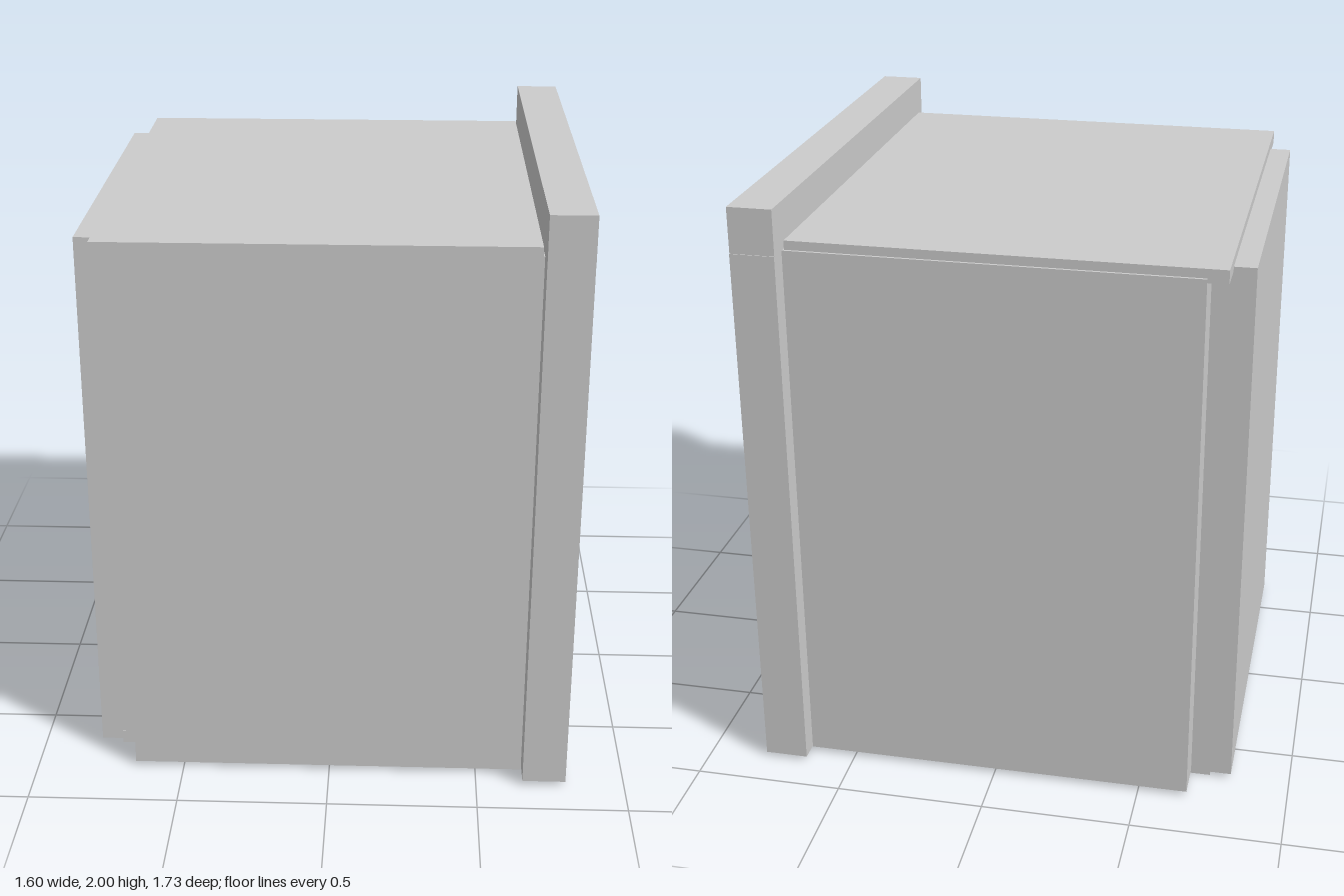
import * as THREE from 'three';

const material = new THREE.MeshStandardMaterial({ color: 0xcccccc, flatShading: true });

// Box given by its [min, max] range along each axis
function slab(name, [x0, x1], [y0, y1], [z0, z1]) {
  const geometry = new THREE.BoxGeometry(x1 - x0, y1 - y0, z1 - z0);
  geometry.translate((x0 + x1) / 2, (y0 + y1) / 2, (z0 + z1) / 2);
  const mesh = new THREE.Mesh(geometry, material);
  mesh.name = name;
  return mesh;
}

export function createModel() {
  const model = new THREE.Group();
  model.name = 'elevatorCabin';
  const wallY = [0.015, 1.85];

  // Cabin shell
  const cabin = new THREE.Group();
  cabin.name = 'cabin';
  cabin.add(
    slab('floor', [-0.73, 0.65], [0, 0.045], [-0.67, 0.662]),
    slab('roof', [-0.73, 0.65], [1.835, 1.88], [-0.793, 0.802]),
    slab('frontWall', [-0.665, 0.655], wallY, [0.655, 0.798]),
    slab('backWall', [-0.665, 0.655], wallY, [-0.802, -0.665]),
    slab('rearWall', [-0.802, -0.665], wallY, [-0.672, 0.66])
  );

  // Door frame: two jambs under a lintel
  const frame = new THREE.Group();
  frame.name = 'doorFrame';
  const frameX = [0.657, 0.802];
  frame.add(
    slab('frontJamb', frameX, wallY, [0.595, 0.865]),
    slab('backJamb', frameX, wallY, [-0.865, -0.595]),
    slab('lintel', frameX, [1.85, 2], [-0.862, 0.869])
  );

  // Two sliding panels, one behind the other
  const doors = new THREE.Group();
  doors.name = 'slidingDoors';
  doors.add(
    slab('outerDoorPanel', [0.652, 0.73], wallY, [-0.072, 0.597]),
    slab('innerDoorPanel', [0.582, 0.656], wallY, [-0.665, -0.06])
  );

  model.add(cabin, frame, doors);
  return model;
}
